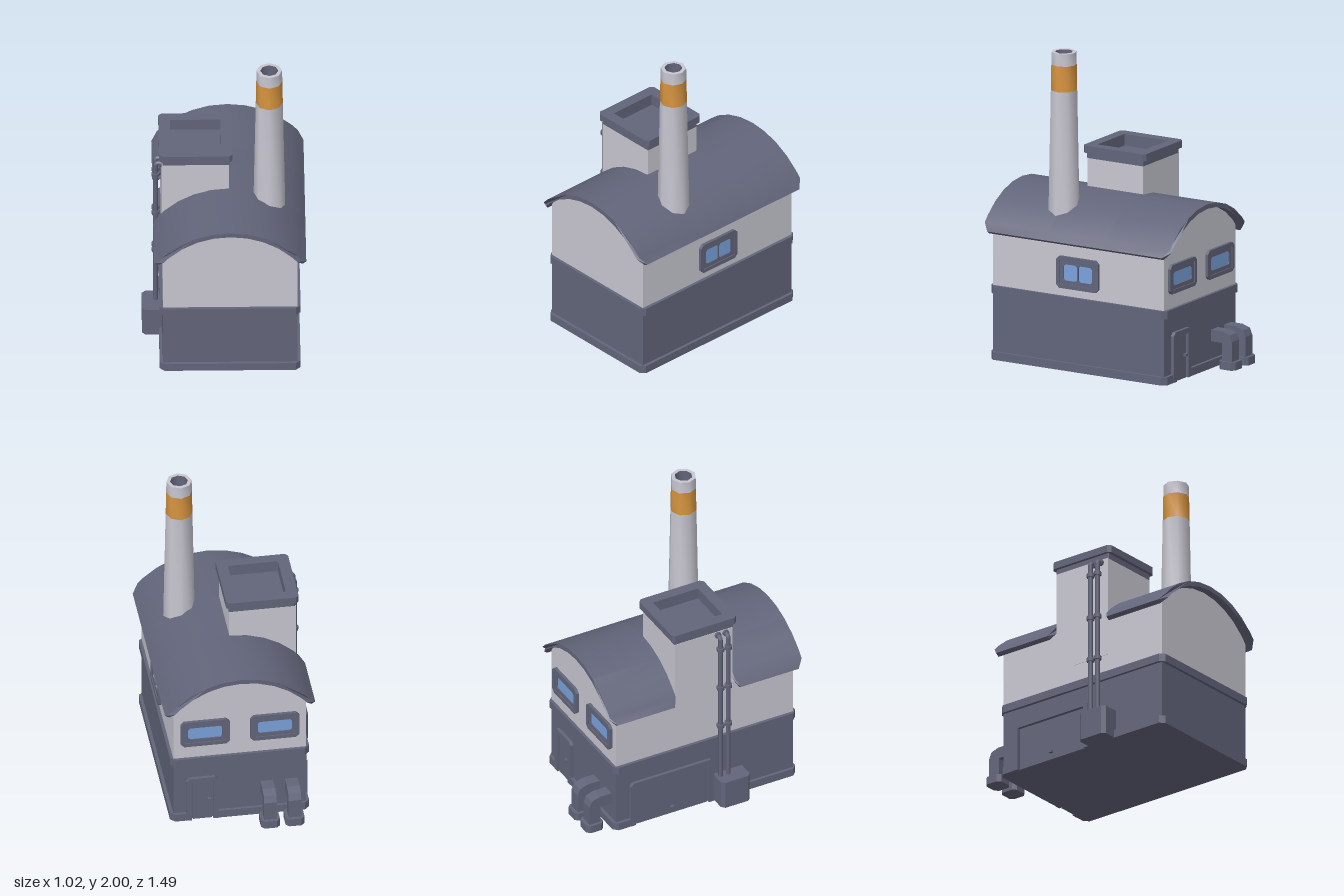
import * as THREE from 'three';
import { toCreasedNormals } from 'three/addons/utils/BufferGeometryUtils.js';

const mat = (name, color) => {
  const m = new THREE.MeshStandardMaterial({ color });
  m.name = name;
  return m;
};

export function createModel() {
  const slate = mat('slate', 0x62657a);
  const plaster = mat('plaster', 0xc8c7d2);
  const orange = mat('orange', 0xd6943f);
  const glass = mat('glass', 0x7aa2dc);
  const model = new THREE.Group();
  model.name = 'factory';

  const add = (name, geo, material, parent = model) => {
    const m = new THREE.Mesh(geo, material);
    m.name = name;
    parent.add(m);
    return m;
  };
  const box = (name, x0, x1, y0, y1, z0, z1, material, parent) => {
    const g = new THREE.BoxGeometry(x1 - x0, y1 - y0, z1 - z0);
    g.translate((x0 + x1) / 2, (y0 + y1) / 2, (z0 + z1) / 2);
    return add(name, g, material, parent);
  };
  const poly = (pts) => new THREE.Shape(pts.map(([x, y]) => new THREE.Vector2(x, y)));
  // rectangle with cut corners
  const cutRect = (x0, x1, y0, y1, c) => poly([
    [x0 + c, y0], [x1 - c, y0], [x1, y0 + c], [x1, y1 - c],
    [x1 - c, y1], [x0 + c, y1], [x0, y1 - c], [x0, y0 + c]]);
  const extrude = (shape, depth) => new THREE.ExtrudeGeometry(shape, { depth, bevelEnabled: false });
  // horizontal slab from a plan drawn in (x, -z)
  const slab = (name, shape, y0, y1, material = slate) =>
    add(name, extrude(shape, y1 - y0).rotateX(-Math.PI / 2).translate(0, y0, 0), material);

  // ---- walls ----
  const X0 = -0.39, X1 = 0.45, Z0 = -0.565, Z1 = 0.695, CX = 0.03;
  const R = 0.574, CY = 0.509, T = 0.03;
  const arcPt = (deg, r) => {
    const a = THREE.MathUtils.degToRad(deg);
    return [CX + r * Math.sin(a), CY + r * Math.cos(a)];
  };
  box('lowerWalls', X0, X1, 0, 0.45, Z0, Z1, slate);
  const gable = [[X0, 0.45], [X1, 0.45]];
  for (let i = 0; i <= 8; i++) gable.push(arcPt(44.8 - i * 11.2, R - T + 0.005));
  gable.splice(2, 0, [X1, 0.85]);
  gable.push([X0, 0.85]);
  add('upperWalls', extrude(poly(gable), Z1 - Z0).translate(0, 0, Z0), plaster);

  // base plinth, interrupted at both doors
  const door = [0.165, 0.37], gate = [-0.47, 0.12];
  const c = 0.03, bx0 = X0 - 0.02, bx1 = X1 + 0.02, bz0 = Z0 - 0.02, bz1 = Z1 + 0.02;
  slab('basePlinth', poly([
    [bx0 + c, -bz1], [bx1 - c, -bz1], [bx1, -bz1 + c], [bx1, -bz0 - c], [bx1 - c, -bz0],
    [door[1], -bz0], [door[1], -Z0], [door[0], -Z0], [door[0], -bz0],
    [bx0 + c, -bz0], [bx0, -bz0 - c],
    [bx0, -gate[0]], [X0, -gate[0]], [X0, -gate[1]], [bx0, -gate[1]], [bx0, -bz1 + c]]), 0, 0.052);
  slab('beltCourse', cutRect(bx0, bx1, -bz1, -bz0, c), 0.425, 0.477);

  // ---- barrel roof, in three lengths around the tower ----
  const END = 55.9;
  const angles = [END, 50];
  for (let i = 0; i <= 8; i++) angles.push(44.8 - i * 11.2);
  angles.push(-50, -END);
  const roof = (name, z0, z1, list, cut) => {
    const outline = [...list.map(a => arcPt(a, R)), ...[...list].reverse().map(a => arcPt(a, R - T))];
    const g = extrude(poly(outline), z1 - z0).translate(0, 0, z0);
    const p = g.attributes.position;
    // pull in the eave corners
    for (let i = 0; i < p.count; i++) {
      const a = THREE.MathUtils.radToDeg(Math.atan2(p.getX(i) - CX, p.getY(i) - CY));
      if (Math.abs(a) < 54) continue;
      const back = p.getZ(i) < (z0 + z1) / 2;
      const d = cut[(a > 0 ? 2 : 0) + (back ? 0 : 1)];
      p.setZ(i, p.getZ(i) + (back ? d : -d));
    }
    add(name, toCreasedNormals(g, 0.5), slate);
  };
  // corner cuts: left back, left front, right back, right front
  roof('frontRoof', 0.27, 0.745, angles, [0.025, 0.04, 0, 0.04]);
  roof('backRoof', -0.62, -0.15, angles, [0.04, 0.025, 0.04, 0]);
  roof('middleRoof', -0.15, 0.27, angles.filter(a => a > -5), [0, 0, 0, 0]);

  // ---- roof tower with open cap ----
  box('towerWalls', X0 - 0.001, 0.03, 0.6, 1.265, -0.145, 0.265, plaster);
  const withHole = (shape) => {
    shape.holes.push(poly([[-0.335, -0.22], [-0.335, 0.1], [-0.02, 0.1], [-0.02, -0.22]]));
    return shape;
  };
  slab('towerCapNeck', withHole(cutRect(X0 + 0.002, 0.032, -0.267, 0.147, 0.004)), 1.263, 1.3);
  slab('towerCap', withHole(cutRect(-0.408, 0.05, -0.29, 0.17, 0.02)), 1.298, 1.345);
  box('towerCapFloor', -0.34, -0.015, 1.26, 1.27, -0.105, 0.225, slate);

  // ---- chimney ----
  const rad = (y) => 0.1 - 0.02 * (y - 0.95) / 1.05;
  const lathe = (name, pts, material) => {
    const g = new THREE.LatheGeometry(pts.map(([r, y]) => new THREE.Vector2(r, y)), 8);
    add(name, toCreasedNormals(g, 0.9), material).position.set(0.28, 0, 0.28);
  };
  lathe('chimneyShaft', [[rad(0.8), 0.8], [rad(1.755), 1.755]], plaster);
  lathe('chimneyBand', [[rad(1.755), 1.755], [rad(1.92), 1.92]], orange);
  lathe('chimneyRim', [[rad(1.92), 1.92], [0.08, 2], [0.056, 2]], plaster);
  lathe('chimneyFlue', [[0.056, 2], [0.052, 1.85], [0.0001, 1.85]], slate);

  // ---- windows, drawn facing +z ----
  const addWindow = (name, x, y, z, turn, h, panes) => {
    const g = new THREE.Group();
    g.name = name;
    g.position.set(x, y, z);
    g.rotation.y = turn;
    model.add(g);
    const w = 0.155, hh = h / 2;
    const outer = cutRect(-w, w, -hh, hh, 0.022);
    outer.holes.push(cutRect(-w + 0.025, w - 0.025, -hh + 0.025, hh - 0.025, 0.002));
    add('windowFrame', extrude(outer, 0.02), slate, g);
    const inner = cutRect(-w + 0.02, w - 0.02, -hh + 0.02, hh - 0.02, 0.002);
    for (const [a, b] of panes) inner.holes.push(cutRect(a, b, -hh + 0.05, hh - 0.05, 0.012));
    add('windowSash', extrude(inner, 0.013), slate, g);
    box('windowGlass', -w + 0.03, w - 0.03, -hh + 0.03, hh - 0.03, 0, 0.006, glass, g);
  };
  addWindow('sideWindow', X1, 0.632, 0.065, Math.PI / 2, 0.205, [[-0.105, -0.005], [0.005, 0.105]]);
  for (const s of [-1, 1])
    addWindow('backWindow', CX + s * 0.22, 0.666, Z0, Math.PI, 0.187, [[-0.108, 0.108]]);

  // ---- doors, drawn facing +z ----
  const addDoor = (name, x, z, turn, w, h, f, knobX, knobY) => {
    const g = new THREE.Group();
    g.name = name;
    g.position.set(x, 0, z);
    g.rotation.y = turn;
    model.add(g);
    const a = w / 2, k = 0.022;
    add('doorFrame', extrude(poly([
      [-a, 0], [-a + f, 0], [-a + f, h - f], [a - f, h - f], [a - f, 0], [a, 0],
      [a, h - k], [a - k, h], [-a + k, h], [-a, h - k]]), 0.022), slate, g);
    box('doorPanel', -a + f + 0.007, a - f - 0.007, 0, h - f - 0.007, 0, 0.009, slate, g);
    box('doorHandle', knobX - 0.012, knobX + 0.012, knobY - 0.008, knobY + 0.008, 0, 0.028, slate, g);
  };
  addDoor('backDoor', (door[0] + door[1]) / 2, Z0, Math.PI, door[1] - door[0], 0.32, 0.035, 0.042, 0.15);
  addDoor('loadingGate', X0, (gate[0] + gate[1]) / 2, -Math.PI / 2, gate[1] - gate[0], 0.32, 0.035, 0, 0.05);

  // ---- square ducts at the back ----
  const duct = poly([[0.55, 0.165], [0.645, 0.165], [0.645, 0.03], [0.722, 0.03],
    [0.722, 0.18], [0.705, 0.222], [0.65, 0.24], [0.55, 0.24]]);
  for (const x of [-0.295, -0.14]) {
    add('duct', extrude(duct, 0.08).rotateY(Math.PI / 2).translate(x - 0.04, 0, 0), slate);
    slab('ductFoot', cutRect(x - 0.06, x + 0.06, 0.625, 0.745, 0.022), 0, 0.052);
  }

  // ---- drain pipes and their box ----
  slab('drainBox', poly([[-0.38, -0.33], [-0.38, -0.125], [-0.493, -0.125],
    [-0.515, -0.147], [-0.515, -0.308], [-0.493, -0.33]].reverse()), 0, 0.19);
  const PX = -0.43, r = 0.015;
  for (const z of [0.157, 0.212]) {
    const upright = new THREE.CylinderGeometry(r, r, 1.045, 8, 1, true);
    add('drainPipe', upright, slate).position.set(PX, 0.7025, z);
    const elbow = new THREE.TorusGeometry(0.018, r, 8, 4, Math.PI / 2);
    elbow.rotateZ(Math.PI / 2);
    add('drainElbow', elbow, slate).position.set(PX + 0.018, 1.225, z);
    const spur = new THREE.CylinderGeometry(r, r, 0.03, 8, 1, true).rotateZ(Math.PI / 2);
    add('drainSpur', spur, slate).position.set(-0.4, 1.243, z);
    const flange = new THREE.CylinderGeometry(0.022, 0.022, 0.016, 8).rotateZ(Math.PI / 2);
    add('drainFlange', flange, slate).position.set(-0.398, 1.243, z);
    for (const y of [0.575, 0.862, 1.155])
      add('drainCollar', new THREE.CylinderGeometry(0.025, 0.025, 0.025, 8), slate).position.set(PX, y, z);
  }

  return model;
}
